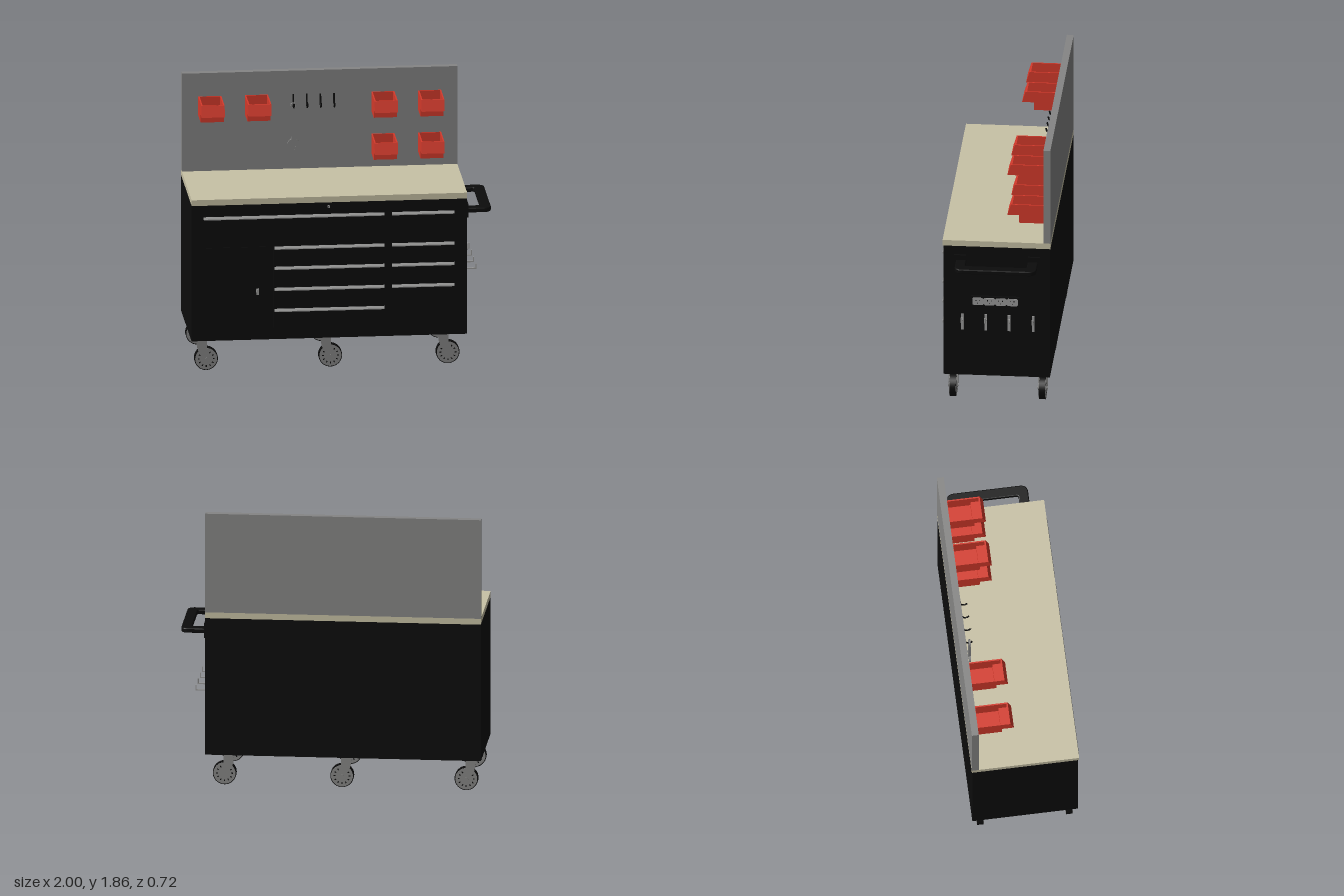
import * as THREE from 'three';

export function createModel() {
  const root = new THREE.Group();
  const mat = (name, color) => {
    const m = new THREE.MeshStandardMaterial({ color });
    m.name = name;
    return m;
  };
  const black = mat('black paint', 0x0c0c0c);
  const wood = mat('pale worktop', 0xc8c2a6);
  const grey = mat('panel grey', 0x868685);
  const steel = mat('light steel', 0x9a9a99);
  const red = mat('bin red', 0xd63a2b);

  const add = (name, geo, m, parent = root) => {
    const mesh = new THREE.Mesh(geo, m);
    mesh.name = name;
    parent.add(mesh);
    return mesh;
  };
  // Box given by its lower and upper limits on each axis
  const box = (name, m, x0, x1, y0, y1, z0, z1, parent = root) => {
    const geo = new THREE.BoxGeometry(x1 - x0, y1 - y0, z1 - z0);
    geo.translate((x0 + x1) / 2, (y0 + y1) / 2, (z0 + z1) / 2);
    return add(name, geo, m, parent);
  };
  const group = (name, x = 0, y = 0, z = 0) => {
    const g = new THREE.Group();
    g.name = name;
    g.position.set(x, y, z);
    root.add(g);
    return g;
  };
  const polygon = (pts) => new THREE.Shape(pts.map(([x, y]) => new THREE.Vector2(x, y)));
  const extrude = (shape, depth, opts = {}) =>
    new THREE.ExtrudeGeometry(shape, { depth, bevelEnabled: false, curveSegments: 10, ...opts });

  // Cabinet, worktop and back panel
  box('cabinet', black, -1, 0.83, 0.21, 1.145, -0.36, 0.345);
  box('worktop', wood, -1, 0.83, 1.145, 1.185, -0.363, 0.352);
  box('backPanel', grey, -1, 0.83, 1.185, 1.86, -0.363, -0.317);

  // Drawer front with a sloped steel pull along its top edge
  const pullProfile = polygon([[0, -0.01], [0.014, -0.01], [0.014, -0.004], [0.006, 0.01], [0, 0.01]]);
  const drawer = (x0, x1, yPull, yBottom) => {
    box('drawerFront', black, x0 - 0.005, x1 + 0.005, yBottom, yPull + 0.012, 0.345, 0.349);
    const geo = extrude(pullProfile, x1 - x0);
    geo.rotateY(-Math.PI / 2);
    geo.translate(x1, yPull, 0.347);
    add('drawerPull', geo, steel);
  };
  drawer(-0.92, 0.28, 1.055, 0.87);
  drawer(0.33, 0.745, 1.055, 0.87);
  const rows = [0.84, 0.7, 0.555, 0.41];
  rows.forEach((y, i) => drawer(-0.45, 0.28, y, i < 3 ? rows[i + 1] + 0.02 : 0.29));
  rows.slice(0, 3).forEach((y, i) => drawer(0.33, 0.745, y, i < 2 ? rows[i + 1] + 0.02 : 0.29));

  // Door with latch, and the top lock
  box('door', black, -0.92, -0.5, 0.285, 0.85, 0.345, 0.349);
  box('latchPlate', steel, -0.568, -0.552, 0.52, 0.565, 0.349, 0.354);
  box('latchLever', steel, -0.572, -0.557, 0.54, 0.558, 0.354, 0.361);
  const lock = new THREE.CylinderGeometry(0.009, 0.009, 0.012, 16).rotateX(Math.PI / 2);
  add('lock', lock.translate(-0.09, 1.115, 0.35), steel);
  box('lockSlot', black, -0.092, -0.088, 1.11, 1.12, 0.356, 0.358);

  // Side push handle: a rounded U bar on two mounts
  const bar = new THREE.Shape();
  const zi = 0.21, zo = 0.265, xi = 0.938, xo = 0.994;
  bar.moveTo(0.83, -zo);
  bar.lineTo(xo - 0.045, -zo);
  bar.quadraticCurveTo(xo, -zo, xo, -zo + 0.045);
  bar.lineTo(xo, zo - 0.045);
  bar.quadraticCurveTo(xo, zo, xo - 0.045, zo);
  bar.lineTo(0.83, zo);
  bar.lineTo(0.83, zi);
  bar.lineTo(xi - 0.02, zi);
  bar.quadraticCurveTo(xi, zi, xi, zi - 0.02);
  bar.lineTo(xi, -zi + 0.02);
  bar.quadraticCurveTo(xi, -zi, xi - 0.02, -zi);
  bar.lineTo(0.83, -zi);
  const barGeo = extrude(bar, 0.02, { bevelEnabled: true, bevelSize: 0.006, bevelThickness: 0.006, bevelSegments: 2 });
  barGeo.rotateX(-Math.PI / 2).translate(0, 1.025, -0.01);
  add('pushHandle', barGeo, black);
  for (const s of [-1, 1]) {
    const z = s * 0.245 - 0.01;
    box('handleMount', black, 0.83, 0.845, 0.99, 1.085, z - 0.04, z + 0.04);
  }

  // Power strip with four sockets
  box('powerStrip', black, 0.83, 0.846, 0.72, 0.79, -0.16, 0.16);
  for (let i = 0; i < 4; i++) {
    const z = -0.112 + i * 0.076;
    const plate = polygon([[-0.037, -0.018], [-0.029, -0.026], [0.029, -0.026], [0.037, -0.018],
      [0.037, 0.018], [0.029, 0.026], [-0.029, 0.026], [-0.037, 0.018]]);
    add('socket', extrude(plate, 0.005).rotateY(Math.PI / 2).translate(0.846, 0.755, z), steel);
    for (const [dz, dy] of [[-0.012, 0.008], [0.012, 0.008], [0, -0.012]])
      box('socketSlot', black, 0.85, 0.852, 0.751 + dy, 0.759 + dy, z + dz - 0.002, z + dz + 0.002);
  }

  // Side hooks: back plate, arm and upturned tip
  for (const z of [0.22, 0.065, -0.09, -0.25]) {
    const g = group('sideHook', 0.83, 0, z);
    box('hookPlate', steel, 0, 0.007, 0.54, 0.655, -0.009, 0.009, g);
    box('hookArm', steel, 0, 0.074, 0.62, 0.628, -0.006, 0.006, g);
    box('hookTip', steel, 0.067, 0.074, 0.62, 0.657, -0.006, 0.006, g);
  }

  // Storage bins: two profiled sides joined by walls
  const binProfile = polygon([[-0.317, 1.57], [-0.147, 1.57], [-0.147, 1.625], [-0.069, 1.625], [-0.092, 1.7], [-0.317, 1.7]]);
  const lipProfile = polygon([[-0.155, 1.57], [-0.147, 1.57], [-0.147, 1.625], [-0.069, 1.625],
    [-0.092, 1.7], [-0.102, 1.7], [-0.082, 1.633], [-0.155, 1.633]]);
  const across = (shape, x0, x1) => extrude(shape, x1 - x0).rotateY(-Math.PI / 2).translate(x1, 0, 0);
  const hw = 0.077, wall = 0.009;
  const bin = (x, dy) => {
    const g = group('storageBin', x, dy, 0);
    add('binSide', across(binProfile, -hw, -hw + wall), red, g);
    add('binSide', across(binProfile, hw - wall, hw), red, g);
    add('binFront', across(lipProfile, -hw + wall, hw - wall), red, g);
    box('binFloor', red, -hw + wall, hw - wall, 1.57, 1.58, -0.317, -0.15, g);
    box('binBack', red, -hw + wall, hw - wall, 1.57, 1.7, -0.317, -0.308, g);
  };
  for (const x of [-0.815, -0.505, 0.335, 0.645]) bin(x, 0);
  for (const x of [0.335, 0.645]) bin(x, -0.29);

  // J hooks on the back panel
  const hookPath = new THREE.CatmullRomCurve3([[1.7, -0.314], [1.65, -0.312], [1.622, -0.303], [1.613, -0.288],
    [1.622, -0.272], [1.648, -0.264]].map(([y, z]) => new THREE.Vector3(0, y, z)));
  for (const x of [-0.26, -0.17, -0.08, 0.01])
    add('panelHook', new THREE.TubeGeometry(hookPath, 20, 0.0055, 8), black).position.x = x;

  // Wrench hanging from the first hook
  const w = new THREE.Shape();
  w.moveTo(0.012, -0.016);
  w.absarc(0, 0, 0.021, -0.93, Math.PI + 0.93, false);
  w.lineTo(-0.014, -0.23);
  w.absarc(0, -0.265, 0.039, 2.0, 4.0, false);
  w.lineTo(-0.02, -0.272);
  w.lineTo(-0.004, -0.254);
  w.lineTo(0.012, -0.277);
  w.absarc(0, -0.265, 0.039, 4.95, 7.35, false);
  w.closePath();
  const eye = new THREE.Path();
  eye.absarc(0, 0, 0.012, 0, Math.PI * 2, true);
  w.holes.push(eye);
  add('wrench', extrude(w, 0.014), grey).position.set(-0.262, 1.628, -0.292);

  // Six casters with trailing forks
  const fork = new THREE.Shape();
  fork.moveTo(-0.065, 0.13);
  fork.lineTo(-0.055, 0.06);
  fork.lineTo(-0.018, 0);
  fork.absarc(0, 0, 0.018, Math.PI, Math.PI * 2, false);
  fork.lineTo(0.018, 0.03);
  fork.lineTo(0.004, 0.08);
  fork.lineTo(0.004, 0.13);
  const disc = (r, d) => new THREE.CylinderGeometry(r, r, d, 32).rotateX(Math.PI / 2);
  for (const x of [-0.9, -0.075, 0.705]) for (const z of [0.29, -0.303]) {
    const g = group('caster', x, 0.078, z);
    add('tyre', disc(0.078, 0.042), black, g);
    add('wheelHub', disc(0.073, 0.046), grey, g);
    add('axle', disc(0.01, 0.068), grey, g);
    box('swivelPlate', grey, -0.07, 0.01, 0.124, 0.133, -0.031, 0.031, g);
    for (const s of [-1, 1]) {
      add('fork', extrude(fork, 0.006), grey, g).position.z = s * 0.028 - 0.003;
      // Dark recesses around the hub
      for (let i = 0; i < 12; i++) {
        const a = (i / 12) * Math.PI * 2;
        const slot = new THREE.BoxGeometry(0.012, 0.007, 0.002).translate(0.05, 0, s * 0.0235);
        add('hubRecess', slot.rotateZ(a), black, g);
      }
    }
  }
  return root;
}
